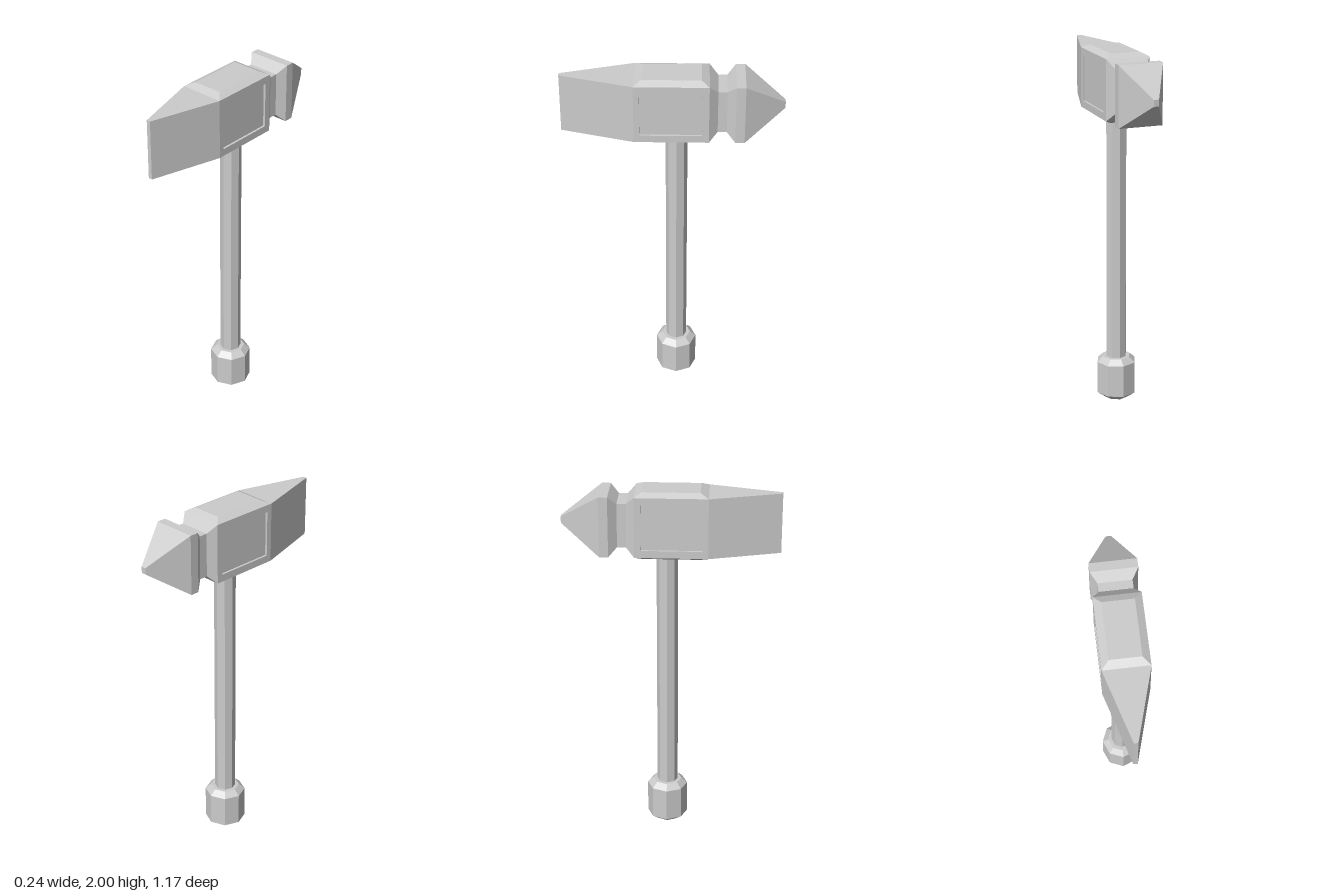
import * as THREE from 'three';

const material = new THREE.MeshStandardMaterial({ color: 0xcccccc, flatShading: true });

// Joins rectangular rings [w, u0, u1, v0, v1] along an axis (x: u=y v=z, y: u=z v=x, z: u=x v=y).
function loft(name, axis, rings, { start = false, end = false } = {}) {
  const a = 'xyz'.indexOf(axis);
  const positions = [];
  const quad = (...pts) => [0, 1, 2, 0, 2, 3].forEach(i => positions.push(...pts[i]));
  const corners = rings.map(([w, u0, u1, v0, v1]) =>
    [[u0, v0], [u1, v0], [u1, v1], [u0, v1]].map(([u, v]) => {
      const p = [0, 0, 0];
      p[a] = w;
      p[(a + 1) % 3] = u;
      p[(a + 2) % 3] = v;
      return p;
    }));
  for (let r = 0; r < corners.length - 1; r++) {
    for (let i = 0; i < 4; i++) {
      const j = (i + 1) % 4;
      quad(corners[r][i], corners[r][j], corners[r + 1][j], corners[r + 1][i]);
    }
  }
  if (start) quad(...[...corners[0]].reverse());
  if (end) quad(...corners[corners.length - 1]);
  const geometry = new THREE.BufferGeometry();
  geometry.setAttribute('position', new THREE.Float32BufferAttribute(positions, 3));
  geometry.computeVertexNormals();
  const mesh = new THREE.Mesh(geometry, material);
  mesh.name = name;
  return mesh;
}

function createHead() {
  const head = new THREE.Group();
  head.name = 'head';
  const X = 0.122, Y0 = 1.65, Y1 = 1.98, Z0 = -0.19, Z1 = 0.2;

  // Chamfered top and bottom of the central block
  const full = [Z0, Z1, -X, X], inset = [-0.15, 0.157, -0.083, 0.083];
  head.add(loft('blockTop', 'y', [[Y1, ...full], [2, ...inset]], { end: true }));
  head.add(loft('blockBottom', 'y', [[1.63, ...inset], [Y0, ...full]], { start: true }));

  // Side walls, each with a recessed panel
  const outer = [Y0, Y1, Z0, Z1], panel = [1.69, 1.94, -0.155, 0.17];
  const wall = [[X, ...outer], [X, ...panel], [X - 0.012, ...panel]];
  head.add(loft('leftWall', 'x', wall, { end: true }));
  const mirrored = wall.map(([x, ...rect]) => [-x, ...rect]).reverse();
  head.add(loft('rightWall', 'x', mirrored, { start: true }));

  // Tall wedge blade at the front
  head.add(loft('blade', 'z', [[Z1, -X, X, Y0, Y1], [0.585, -0.011, 0.011, Y0, Y1]], { end: true }));

  // Blunt spike and narrow neck at the back
  head.add(loft('spikeAndNeck', 'z', [
    [-0.585, -0.014, 0.014, 1.8, 1.835],
    [-0.375, -X, X, Y0, Y1],
    [-0.327, -X, X, Y0, Y1],
    [-0.282, -0.088, 0.088, 1.695, 1.935],
    [-0.235, -0.088, 0.088, 1.695, 1.935],
    [Z0, -X, X, Y0, Y1],
  ], { start: true }));
  return head;
}

export function createModel() {
  const model = new THREE.Group();
  model.name = 'warHammer';
  model.add(createHead());

  // Octagonal shaft
  const shaft = new THREE.Mesh(new THREE.CylinderGeometry(0.058, 0.058, 1.5, 8), material);
  shaft.name = 'shaft';
  shaft.position.set(0, 0.89, -0.021);
  model.add(shaft);

  // Octagonal pommel with chamfered ends
  const profile = [[0, 0], [0.065, 0], [0.113, 0.035], [0.113, 0.22], [0.08, 0.25], [0, 0.25]];
  const pommel = new THREE.Mesh(
    new THREE.LatheGeometry(profile.map(p => new THREE.Vector2(...p)), 8), material);
  pommel.name = 'pommel';
  pommel.position.z = -0.021;
  model.add(pommel);
  return model;
}
